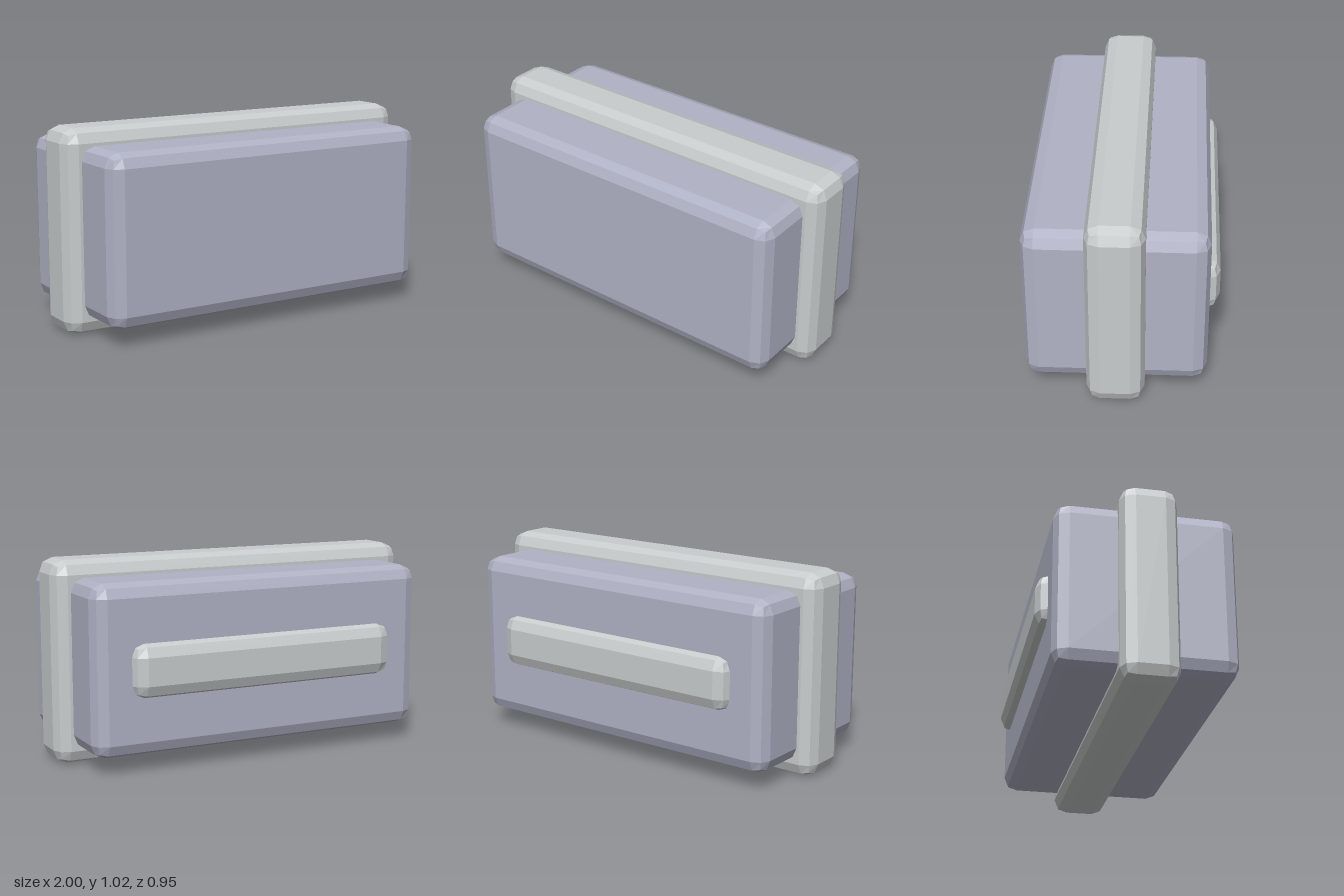
import * as THREE from 'three';
import { RoundedBoxGeometry } from 'three/addons/geometries/RoundedBoxGeometry.js';

export function createModel() {
  const group = new THREE.Group();
  const shell = new THREE.MeshStandardMaterial({ color: 0xb0b2c5, flatShading: true });
  shell.name = 'lavender grey shell';
  const trim = new THREE.MeshStandardMaterial({ color: 0xc8cccc, flatShading: true });
  trim.name = 'pale grey trim';

  // Box with single-step bevelled edges, placed by its centre
  const bevelBox = (name, material, [w, h, d], [x, y, z]) => {
    const mesh = new THREE.Mesh(new RoundedBoxGeometry(w, h, d, 1, 0.07), material);
    mesh.name = name;
    mesh.position.set(x, y, z);
    group.add(mesh);
  };

  // Main case
  bevelBox('body', shell, [1.83, 0.855, 0.895], [0, 0.5125, 0.0265]);
  // Raised band around the middle
  bevelBox('band', trim, [2, 1.025, 0.287], [0, 0.5125, 0.0265]);
  // Long bar set into the back face
  bevelBox('backBar', trim, [1.46, 0.28, 0.16], [0, 0.5125, -0.395]);

  return group;
}
